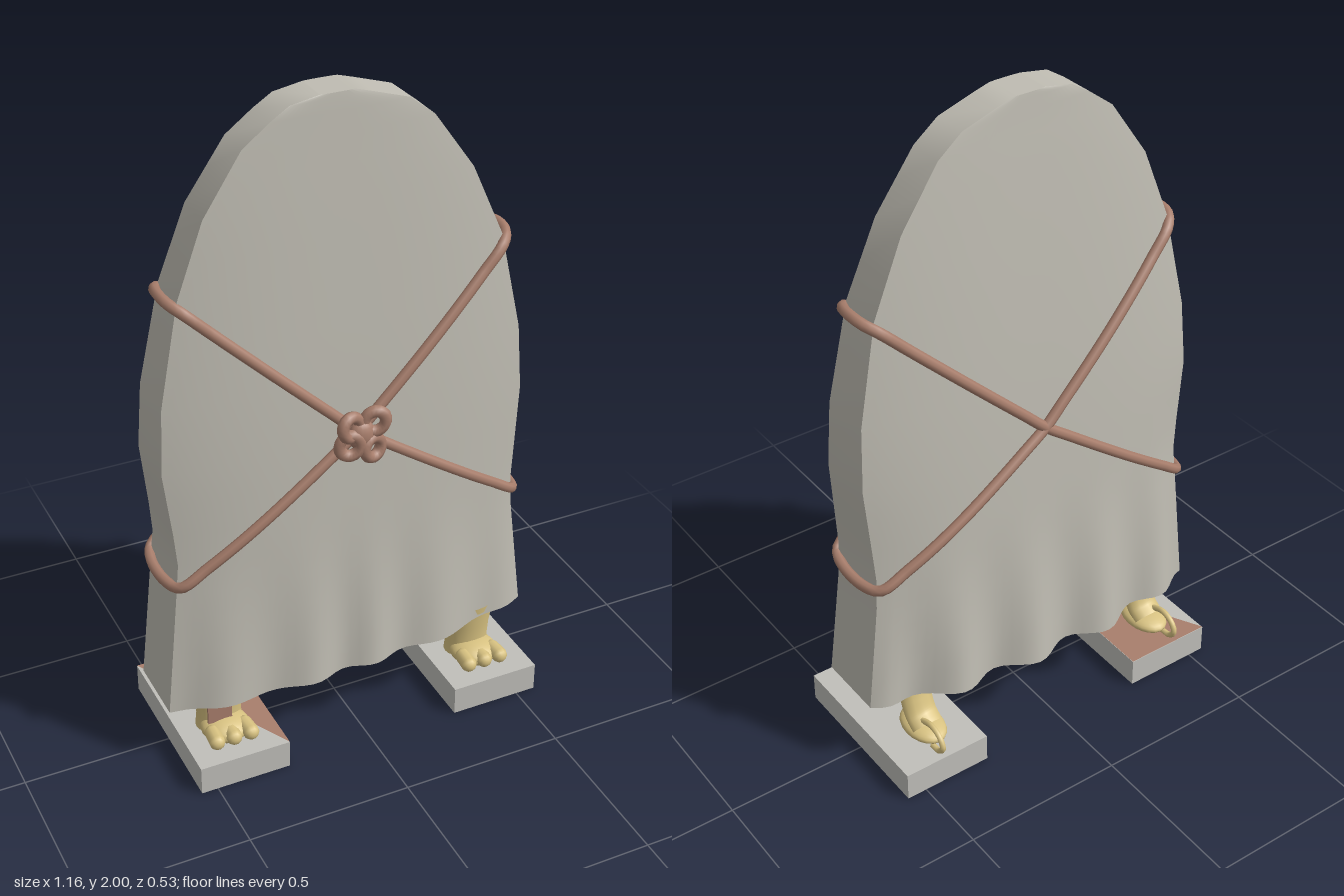
import * as THREE from 'three';
import { toCreasedNormals } from 'three/addons/utils/BufferGeometryUtils.js';

const mat = (name, color, side = THREE.FrontSide) => {
  const m = new THREE.MeshStandardMaterial({ color, side });
  m.name = name;
  return m;
};

// Cloth outline by height: y, left x, right x, front edge z, front middle z, back edge z, back middle z
const KEYS = [
  [2.0, -0.07, 0.03, 0.063, 0.065, -0.043, -0.045],
  [1.985, -0.155, 0.08, 0.064, 0.067, -0.044, -0.047],
  [1.95, -0.21, 0.19, 0.064, 0.07, -0.045, -0.05],
  [1.89, -0.29, 0.265, 0.065, 0.075, -0.046, -0.058],
  [1.72, -0.405, 0.385, 0.07, 0.09, -0.052, -0.077],
  [1.5, -0.488, 0.482, 0.075, 0.108, -0.06, -0.1],
  [1.2, -0.548, 0.545, 0.085, 0.132, -0.075, -0.128],
  [1.0, -0.56, 0.557, 0.092, 0.145, -0.085, -0.143],
  [0.8, -0.538, 0.542, 0.1, 0.155, -0.092, -0.155],
  [0.7, -0.53, 0.535, 0.103, 0.16, -0.095, -0.16],
  [0.6, -0.54, 0.54, 0.105, 0.165, -0.098, -0.165],
  [0.2, -0.583, 0.58, 0.115, 0.185, -0.1, -0.185],
];

function outline(y) {
  let i = 0;
  while (i < KEYS.length - 2 && KEYS[i + 1][0] > y) i++;
  const a = KEYS[i], b = KEYS[i + 1];
  const t = THREE.MathUtils.clamp((a[0] - y) / (a[0] - b[0]), 0, 1);
  return a.map((v, k) => v + (b[k] - v) * t);
}

// Depth of the cloth at x, y, with folds that deepen towards the hem
function clothZ(x, y, front) {
  const [, L, R, ef, cf, eb, cb] = outline(y);
  const u = THREE.MathUtils.clamp((2 * (x - L)) / (R - L) - 1, -1, 1);
  const fade = Math.max(0, (0.72 - y) / 0.52);
  const env = 1 - Math.abs(u) ** 8;
  const bulge = 1 - Math.abs(u) ** 3;
  if (front) return ef + (cf - ef) * bulge + env * fade * 0.014 * Math.sin(x * 27 + 0.7 * Math.sin(x * 9));
  return eb + (cb - eb) * bulge - env * fade * 0.026 * Math.cos((x - 0.05) * 24);
}

const N = 44; // columns across each face

function ring(y) {
  const [, L, R] = outline(y);
  const fade = Math.max(0, (0.6 - y) / 0.4);
  const pts = [];
  for (const front of [true, false]) {
    for (let j = 0; j <= N; j++) {
      const x = THREE.MathUtils.lerp(L, R, front ? j / N : 1 - j / N);
      pts.push(x, y + 0.04 * (x + 0.58) * fade, clothZ(x, y, front));
    }
  }
  return pts;
}

function geometry(pos, idx) {
  const g = new THREE.BufferGeometry();
  g.setAttribute('position', new THREE.Float32BufferAttribute(pos, 3));
  g.setIndex(idx);
  return toCreasedNormals(g, 0.7);
}

// Strip joining the front of a ring to its back
function capIndices(up) {
  const idx = [], M = 2 * N + 1;
  for (let j = 0; j < N; j++) {
    const q = [j, j + 1, M - j - 1, M - j];
    if (!up) q.reverse();
    idx.push(q[0], q[1], q[2], q[0], q[2], q[3]);
  }
  return idx;
}

function clothGeometry() {
  const ys = [2, 1.985, 1.95, 1.89, 1.81, 1.72, 1.61, 1.5, 1.35, 1.2, 1.1, 1, 0.9, 0.8, 0.7, 0.6, 0.5, 0.4, 0.3, 0.2];
  const pos = ys.flatMap(ring), idx = capIndices(true), n = 2 * N + 2;
  for (let i = 0; i < ys.length - 1; i++) {
    for (let j = 0; j < n; j++) {
      const a = i * n + j, b = i * n + ((j + 1) % n), c = a + n, d = b + n;
      idx.push(c, d, b, c, b, a);
    }
  }
  return geometry(pos, idx);
}

// Closed rope loop lying on the cloth; side = +1 puts its high end at +x
function ropeGeometry(side) {
  const hi = [side * 0.475, 1.475], lo = [-side * 0.53, side > 0 ? 0.635 : 0.67];
  const pts = [];
  const along = (t) => {
    const k = t < 0.5 ? t * 2 : t * 2 - 1;
    const a = t < 0.5 ? hi : [0, 1.03], b = t < 0.5 ? [0, 1.03] : lo;
    return [a[0] + (b[0] - a[0]) * k, a[1] + (b[1] - a[1]) * k];
  };
  const r = 0.014, S = 14;
  for (let i = 0; i <= S; i++) {
    const [x, y] = along(i / S);
    pts.push(new THREE.Vector3(x, y, clothZ(x, y, true) + r));
  }
  pts.push(new THREE.Vector3(lo[0] - side * 0.022, lo[1] - 0.01, 0.06), new THREE.Vector3(lo[0] - side * 0.022, lo[1] - 0.01, -0.06));
  for (let i = S; i >= 0; i--) {
    const [x, y] = along(i / S);
    pts.push(new THREE.Vector3(x, y, clothZ(x, y, false) - r));
  }
  pts.push(new THREE.Vector3(hi[0] + side * 0.03, hi[1] + 0.02, -0.04), new THREE.Vector3(hi[0] + side * 0.03, hi[1] + 0.02, 0.05));
  return new THREE.TubeGeometry(new THREE.CatmullRomCurve3(pts, true), 160, 0.016, 8, true);
}

export function createModel() {
  const cloth = mat('grey cloth', 0xbfbcb2, THREE.DoubleSide);
  const stone = mat('pale stone', 0xc0bfba);
  const brown = mat('rope brown', 0xa87e6c);
  const tan = mat('golden tan', 0xd8c281);
  const model = new THREE.Group();
  model.name = 'coveredStandingPanel';

  const add = (parent, name, geo, material, p = [0, 0, 0], s = [1, 1, 1], rot = [0, 0, 0]) => {
    const m = new THREE.Mesh(geo, material);
    m.name = name;
    m.position.set(...p);
    m.scale.set(...s);
    m.rotation.set(...rot);
    parent.add(m);
    return m;
  };

  // Draped cloth and the underside of the panel inside it
  add(model, 'drapedCloth', clothGeometry(), cloth);
  add(model, 'panelUnderside', geometry(ring(0.2), capIndices(false)), tan, [0, 0.006, 0]);

  // Crossed ropes and knot
  for (const side of [1, -1]) add(model, side > 0 ? 'ropeLoopA' : 'ropeLoopB', ropeGeometry(side), brown);
  const knot = new THREE.Group();
  knot.name = 'knot';
  knot.position.set(0, 1.02, 0.172);
  model.add(knot);
  const coil = new THREE.TorusGeometry(0.03, 0.017, 8, 18);
  for (const [x, y, tilt] of [[-0.035, 0.045, 0.5], [0.038, 0.048, -0.5], [-0.038, -0.012, -0.4], [0.032, -0.035, 0.5]]) {
    add(knot, 'knotCoil', coil, brown, [x, y, 0.012], [1, 1.1, 1], [0, tilt * 0.6, tilt]);
  }
  add(knot, 'knotCentre', new THREE.SphereGeometry(0.04, 14, 10), brown, [0, 0.01, 0.005], [1, 1.2, 0.7]);

  // Feet on plinths
  const ball = new THREE.SphereGeometry(1, 20, 14);
  const toe = new THREE.CapsuleGeometry(0.022, 0.045, 5, 10);
  const legProfile = [[0.066, 0.09], [0.062, 0.13], [0.066, 0.19], [0.078, 0.27]].map((p) => new THREE.Vector2(...p));
  const leg = new THREE.LatheGeometry(legProfile, 20);
  const claw = new THREE.TubeGeometry(new THREE.CatmullRomCurve3([
    [0, 0.155, -0.15], [0, 0.17, -0.2], [0, 0.155, -0.24], [0, 0.125, -0.255], [0, 0.1, -0.235], [0, 0.095, -0.2],
  ].map((p) => new THREE.Vector3(...p))), 24, 0.009, 8);
  const hindLeg = new THREE.TubeGeometry(new THREE.CatmullRomCurve3([
    [0, 0.27, -0.07], [0, 0.2, -0.09], [0, 0.15, -0.115], [0, 0.125, -0.15],
  ].map((p) => new THREE.Vector3(...p))), 16, 0.034, 12);
  for (const side of [1, -1]) {
    const foot = new THREE.Group();
    foot.name = side > 0 ? 'leftFoot' : 'rightFoot';
    model.add(foot);
    add(foot, 'plinth', new THREE.BoxGeometry(0.28, 0.09, 0.525), stone, [side > 0 ? 0.422 : -0.41, 0.045, 0.003]);
    const paw = new THREE.Group();
    paw.name = 'paws';
    paw.position.x = side * 0.418;
    foot.add(paw);
    add(paw, 'frontLeg', leg, tan, [0, 0, 0.082], [1.1, 1, 0.85]);
    add(paw, 'instep', ball, tan, [0, 0.108, 0.13], [0.074, 0.036, 0.075]);
    for (const k of [-1, 0, 1]) {
      add(paw, 'toe', toe, tan, [k * 0.052, 0.114, 0.178], [1.1, 1, 1.1], [Math.PI / 2, 0, -k * 0.08]);
    }
    add(paw, 'hindLeg', hindLeg, tan, [0, 0, 0], [1.5, 1, 1]);
    add(paw, 'hindPaw', ball, tan, [0, 0.113, -0.125], [0.06, 0.027, 0.09]);
    add(paw, 'hindClaw', claw, tan, [side * 0.017, 0, 0]);
  }

  // Painted half of the right plinth's top and a patch on the right shin
  const patch = new THREE.Shape([[-0.55, 0.259], [-0.27, -0.265], [-0.27, 0.259]].map((p) => new THREE.Vector2(...p)));
  add(model, 'plinthPatch', new THREE.ShapeGeometry(patch), brown, [0, 0.0915, 0], [1, 1, 1], [-Math.PI / 2, 0, 0]);
  add(model, 'shinPatch', new THREE.BoxGeometry(0.075, 0.06, 0.008), brown, [-0.437, 0.168, 0.139]);
  return model;
}
